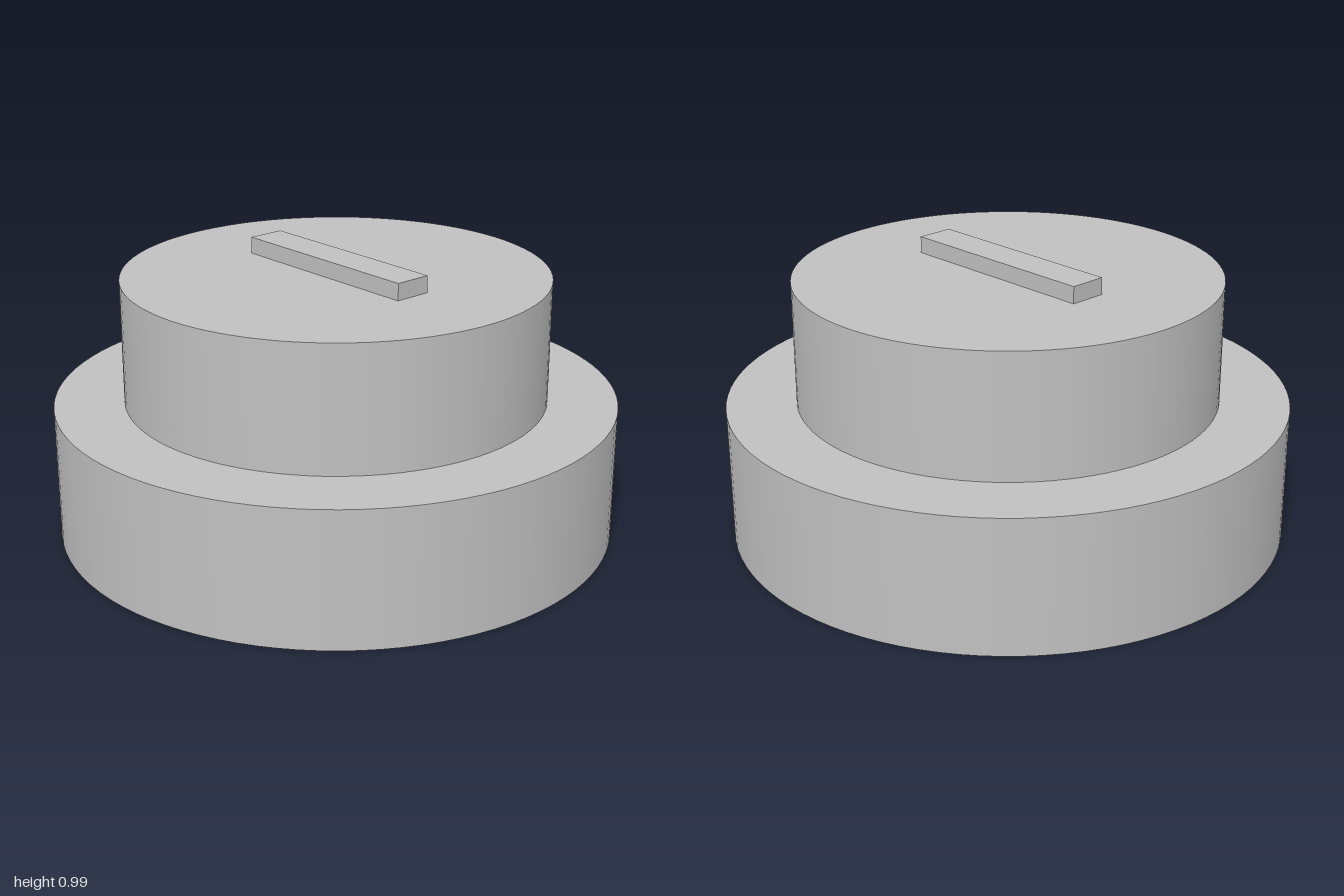
import * as THREE from 'three';

export function createModel() {
  const model = new THREE.Group();
  model.name = 'steppedKnob';

  const grey = new THREE.MeshStandardMaterial({ color: 0xc0c0c0 });
  grey.name = 'plain grey';

  // Adds a part standing on the given height
  const addPart = (name, geometry, bottom, height) => {
    const mesh = new THREE.Mesh(geometry, grey);
    mesh.name = name;
    mesh.position.y = bottom + height / 2;
    model.add(mesh);
  };

  const baseTop = 0.485, drumTop = 0.93, ribTop = 0.99;
  const disc = (radius, height) => new THREE.CylinderGeometry(radius, radius, height, 96);

  // Wide base disc
  addPart('base', disc(1, baseTop), 0, baseTop);

  // Narrower drum on the base
  const drumHeight = drumTop - baseTop;
  addPart('drum', disc(0.753, drumHeight), baseTop, drumHeight);

  // Raised bar across the top
  const ribHeight = ribTop - drumTop;
  addPart('gripBar', new THREE.BoxGeometry(0.766, ribHeight, 0.136), drumTop, ribHeight);

  return model;
}
